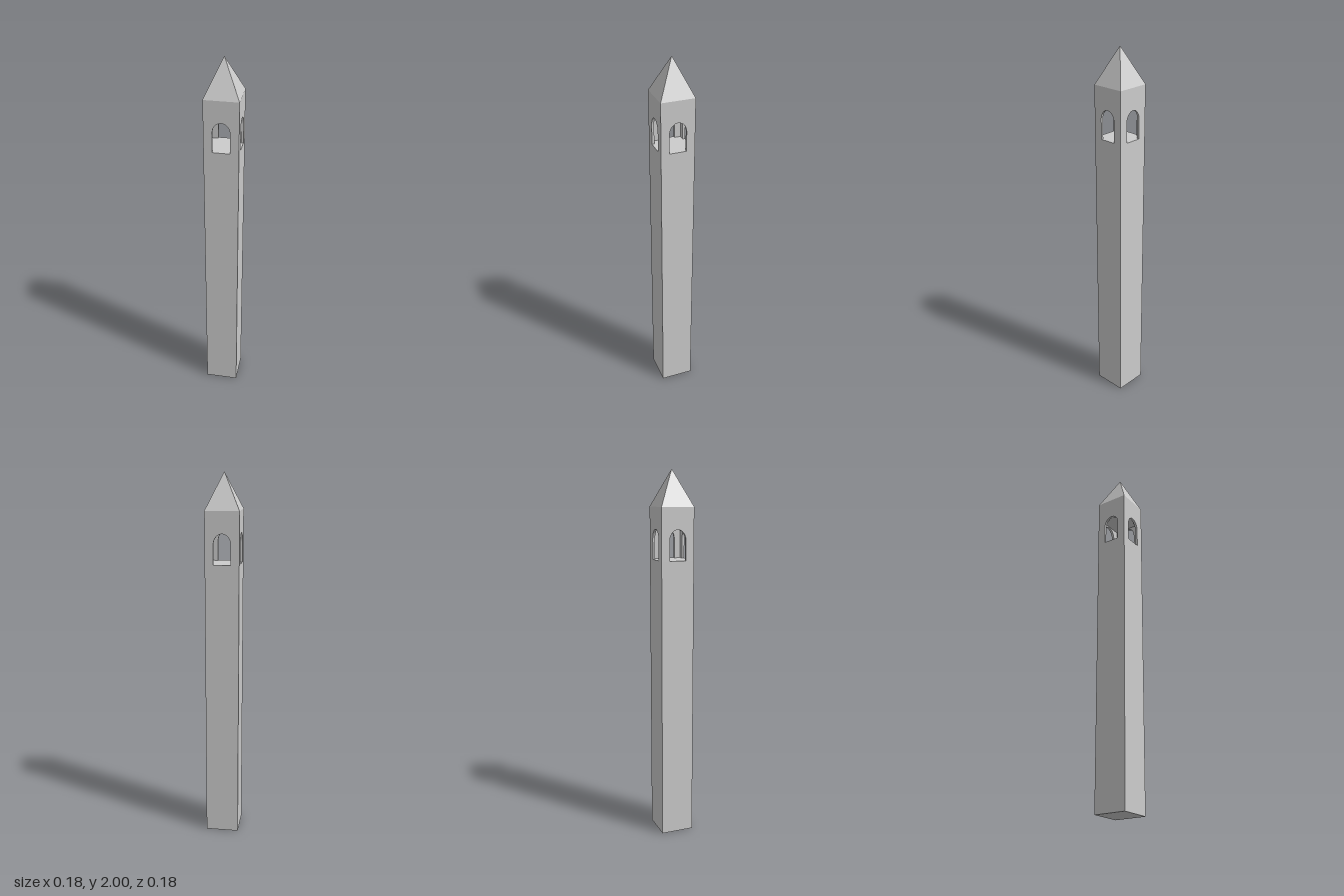
import * as THREE from 'three';

const HALF = 0.09;      // half width of the tower
const WALL = 0.013;     // thickness of the belfry walls
const SILL = 1.535;     // floor of the belfry
const CEILING = 1.7;    // underside of the solid block above it
const EAVES = 1.81;

export function createModel() {
  const tower = new THREE.Group();
  tower.name = 'tower';
  const material = new THREE.MeshStandardMaterial({ color: 0xcccccc, flatShading: true });

  const add = (name, geometry) => {
    const mesh = new THREE.Mesh(geometry, material);
    mesh.name = name;
    tower.add(mesh);
    return mesh;
  };
  const block = (name, bottom, top) => {
    const mesh = add(name, new THREE.BoxGeometry(HALF * 2, top - bottom, HALF * 2));
    mesh.position.y = (bottom + top) / 2;
  };

  // Solid shaft, and the block that closes the belfry
  block('shaft', 0, SILL);
  block('upperBlock', CEILING, EAVES);

  // Belfry wall with an arched window open down to the sill
  const wall = new THREE.Shape();
  const w = 0.045, spring = 1.64, crown = 1.695;
  wall.moveTo(-HALF, SILL);
  wall.lineTo(-w, SILL);
  wall.lineTo(-w, spring);
  wall.absellipse(0, spring, w, crown - spring, Math.PI, 0, true);
  wall.lineTo(w, SILL);
  wall.lineTo(HALF - WALL, SILL);
  wall.lineTo(HALF - WALL, CEILING);
  wall.lineTo(-HALF, CEILING);
  wall.closePath();
  const wallGeometry = new THREE.ExtrudeGeometry(wall, {
    depth: WALL, bevelEnabled: false, curveSegments: 16,
  });
  wallGeometry.translate(0, 0, HALF - WALL);

  // Four walls, each butting against the next at the corner
  ['front', 'left', 'back', 'right'].forEach((side, i) => {
    add(side + 'BelfryWall', wallGeometry).rotation.y = i * Math.PI / 2;
  });

  // Pyramid roof
  const roof = new THREE.ConeGeometry(HALF * Math.SQRT2, 2 - EAVES, 4);
  roof.rotateY(Math.PI / 4);
  add('roof', roof).position.y = (EAVES + 2) / 2;

  return tower;
}
